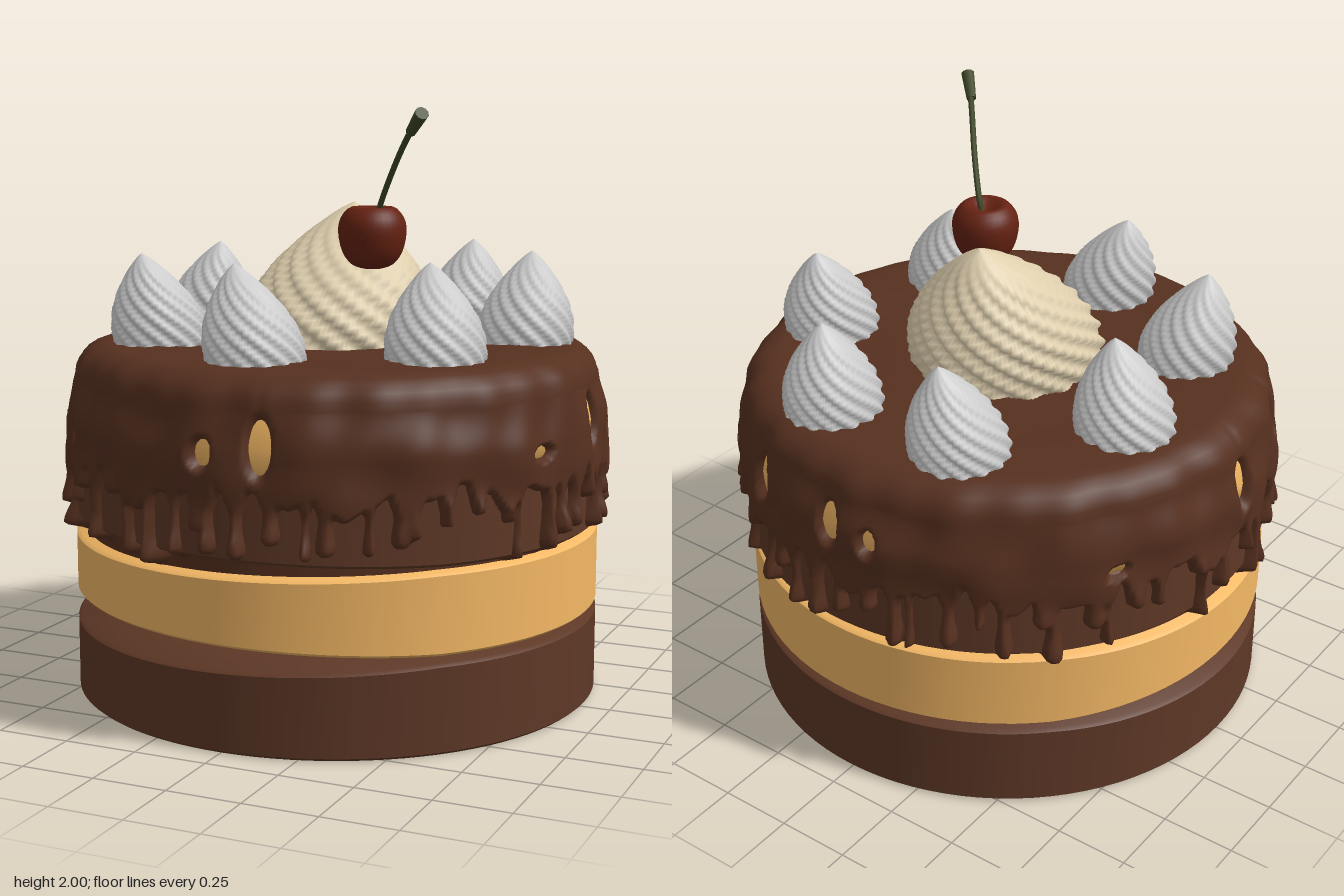
import * as THREE from 'three';
import { toCreasedNormals } from 'three/addons/utils/BufferGeometryUtils.js';

const COLORS = {
  sponge: 0x5e3826, cream: 0xf4b865, icing: 0x56301f, swirl: 0xdfcfae,
  cherry: 0x652212, stem: 0x3f4726, white: 0xcccccc,
};
const material = (key, extra = {}) => new THREE.MeshStandardMaterial({ color: COLORS[key], ...extra });
const smooth = THREE.MathUtils.smoothstep;

function seeded(seed) {
  let s = seed;
  return () => (s = (s * 16807) % 2147483647) / 2147483647;
}

// Surface wrapped around the y axis: rows run top to bottom,
// point(row, angle) gives [radius, y, xShift, zShift]; angle 0 faces the front.
function wrap(rows, cols, point) {
  const pos = [], idx = [];
  for (let i = 0; i <= rows; i++) {
    for (let j = 0; j < cols; j++) {
      const a = (j / cols) * Math.PI * 2;
      const [r, y, sx = 0, sz = 0] = point(i, a);
      pos.push(r * Math.sin(a) + sx, y, r * Math.cos(a) + sz);
      if (i === rows) continue;
      const k = (j + 1) % cols;
      const p = i * cols + j, q = i * cols + k;
      idx.push(p, p + cols, q, q, p + cols, q + cols);
    }
  }
  const g = new THREE.BufferGeometry();
  g.setAttribute('position', new THREE.Float32BufferAttribute(pos, 3));
  g.setIndex(idx);
  g.computeVertexNormals();
  return g;
}

// Cake disc whose rims pull back, leaving a wider wedge at the front corner
function layerGeometry(y0, y1, bottomGap, topGap) {
  const R = 0.905;
  const g = wrap(7, 96, (i, a) => {
    const gap = 0.012 + 0.036 * Math.max(0, Math.cos(a + Math.PI / 4));
    const t = y1 - gap * topGap, b = y0 + gap * bottomGap;
    return [
      [0, y1], [0.7, y1], [R - 0.012, t], [R, t - 0.01],
      [R, b + 0.01], [R - 0.012, b], [0.7, y0], [0, y0],
    ][i];
  });
  return toCreasedNormals(g, 0.7);
}

// Piped swirl: twisted ridges around a leaning, rounded cone
function dollopGeometry(radius, height, ridges, twist, leanX, leanZ) {
  const rows = 22;
  return wrap(rows, ridges * 8, (i, a) => {
    const v = i / rows;
    const ridge = 1 - Math.abs(Math.sin((ridges / 2) * (a - twist * v)));
    const r = radius * Math.sin(v * 1.8) ** 0.85 * (1 - 0.13 * ridge * smooth(v, 0, 0.3));
    const lean = (1 - v) ** 1.4;
    return [r, height * (1 - v), leanX * lean, leanZ * lean];
  });
}

// Icing: a thick coat that sinks into the cake between drips and at bare patches
function icingGeometry() {
  const rand = seeded(4217);
  const drips = [];
  const count = 62;
  for (let i = 0; i < count; i++) {
    drips.push({
      a: ((i + 0.8 * (rand() - 0.5)) / count) * Math.PI * 2,
      w: 0.017 + 0.02 * rand(),
      y: 0.58 + 0.2 * rand() ** 1.3,
    });
  }
  // Bare patches: angle, height, half width, half height
  const patches = [
    [0.156, 0.99, 0.032, 0.078], [-0.055, 0.96, 0.026, 0.038], [-1.12, 1.03, 0.03, 0.06],
    [-0.79, 0.94, 0.018, 0.02], [1.57, 0.99, 0.045, 0.072], [1.85, 1.0, 0.05, 0.073],
    [2.3, 0.95, 0.025, 0.024], [1.2, 0.93, 0.035, 0.018], [2.7, 0.99, 0.036, 0.065],
    [3.1, 0.99, 0.032, 0.06], [3.27, 0.97, 0.024, 0.034], [4.15, 0.9, 0.03, 0.018],
    [4.75, 1.0, 0.034, 0.075],
  ];
  const angleGap = (a, b) => Math.atan2(Math.sin(a - b), Math.cos(a - b)) * 0.92;

  function sideRadius(a, y) {
    const edge = 0.82 + 0.035 * Math.sin(9 * a + 1) + 0.03 * Math.sin(23 * a) + 0.015 * Math.sin(41 * a);
    let cover = y - edge, bulge = 0;
    for (const d of drips) {
      const dx = angleGap(a, d.a);
      if (Math.abs(dx) > 0.12) continue;
      const tip = Math.exp(-(((y - d.y - d.w) / 0.05) ** 2));
      const flare = 0.035 * smooth(y, 0.76, 0.88);
      const w = d.w * (0.8 + 0.3 * tip) + flare;
      cover = Math.max(cover, w - Math.hypot(dx, Math.max(0, d.y + d.w - y)));
      bulge = Math.max(bulge, tip * Math.exp(-((dx / d.w) ** 2)));
    }
    for (const [pa, py, w, h] of patches) {
      const e = Math.hypot(angleGap(a, pa) / w, (y - py) / h);
      cover = Math.min(cover, (e - 1) * w);
    }
    const bumps = 0.005 * Math.sin(17 * a + 9 * y) + 0.004 * Math.sin(31 * a - 14 * y)
      + 0.003 * Math.sin(30 * y + 5 * a);
    const coat = 0.932 - 0.035 * smooth(y, 0.95, 1.13) + bumps + 0.014 * bulge;
    return THREE.MathUtils.lerp(0.865, coat, smooth(cover, -0.012, 0.018));
  }

  const topRows = 12, bendRows = 6, sideRows = 54;
  return wrap(topRows + bendRows + sideRows, 480, (i, a) => {
    if (i <= topRows) {
      const r = 0.78 * (i / topRows);
      const ripple = 0.005 * Math.sin(5 * a + 9 * r) * r + 0.004 * Math.sin(22 * r);
      return [r, 1.207 + ripple * (1 - smooth(r, 0.65, 0.78))];
    }
    const yBend = 1.1;
    if (i <= topRows + bendRows) {
      const t = ((i - topRows) / bendRows) * Math.PI / 2;
      return [0.78 + (sideRadius(a, yBend) - 0.78) * Math.sin(t), yBend + 0.107 * Math.cos(t)];
    }
    const y = yBend - 0.55 * ((i - topRows - bendRows) / sideRows);
    return [sideRadius(a, y), y];
  });
}

export function createModel() {
  const cake = new THREE.Group();
  cake.name = 'cake';
  const add = (name, geometry, mat, x = 0, y = 0, z = 0) => {
    const mesh = new THREE.Mesh(geometry, mat);
    mesh.name = name;
    mesh.position.set(x, y, z);
    cake.add(mesh);
    return mesh;
  };

  // Stacked layers
  const sponge = material('sponge'), cream = material('cream');
  add('bottomSponge', layerGeometry(0.005, 0.312, 0, 1), sponge);
  add('middleCream', layerGeometry(0.312, 0.6, 1, 0.7), cream);
  add('topSponge', layerGeometry(0.6, 0.89, 0.7, 0), sponge);

  // Cream under the icing, rounded at the top
  const topCream = [[0, 1.17], [0.76, 1.17], [0.85, 1.13], [0.885, 1.07], [0.9, 0.98], [0.9, 0.88], [0, 0.88]];
  add('topCream', wrap(6, 96, (i) => topCream[i]), cream);

  add('icing', icingGeometry(), material('icing', { side: THREE.DoubleSide }));

  // Ring of small dollops: x, z, lean x, lean z
  const white = material('white', { side: THREE.DoubleSide });
  [
    [-0.256, -0.607, 0.05, -0.04], [0.246, -0.622, 0.02, -0.02], [0.617, -0.195, 0.0, -0.065],
    [0.5, 0.348, -0.04, -0.05], [-0.018, 0.596, -0.08, -0.01], [-0.505, 0.332, -0.045, 0.05],
    [-0.596, -0.185, 0.055, 0.01],
  ].forEach(([x, z, lx, lz]) => {
    add('smallDollop', dollopGeometry(0.167, 0.315, 14, 2.3, lx, lz), white, x, 1.198, z);
  });

  // Large centre dollop
  add('centreDollop', dollopGeometry(0.338, 0.475, 16, 2.3, -0.01, -0.17),
    material('swirl', { side: THREE.DoubleSide }), 0, 1.195, 0);

  // Cherry with a dimple at the top
  const cherryProfile = new THREE.SplineCurve([
    [0, 0.065], [0.03, 0.078], [0.07, 0.1], [0.105, 0.065], [0.114, 0.015],
    [0.1, -0.05], [0.07, -0.09], [0.03, -0.105], [0, -0.105],
  ].map(([x, y]) => new THREE.Vector2(x, y))).getPoints(24);
  add('cherry', wrap(24, 32, (i) => [Math.max(0, cherryProfile[i].x), cherryProfile[i].y]),
    material('cherry'), 0.183, 1.572, 0.122);

  // Curved stem with a thicker cut end
  const stemMat = material('stem');
  const path = new THREE.CatmullRomCurve3([
    [0.195, 1.62, 0.122], [0.215, 1.68, 0.13], [0.285, 1.79, 0.2], [0.37, 1.89, 0.3], [0.46, 1.975, 0.405],
  ].map((p) => new THREE.Vector3(...p)));
  add('cherryStem', new THREE.TubeGeometry(path, 16, 0.01, 8), stemMat);
  const from = new THREE.Vector3(0.41, 1.925, 0.35), to = new THREE.Vector3(0.472, 1.985, 0.412);
  const end = add('stemEnd', new THREE.CylinderGeometry(0.023, 0.017, from.distanceTo(to), 10), stemMat);
  end.position.copy(from).lerp(to, 0.5);
  end.quaternion.setFromUnitVectors(new THREE.Vector3(0, 1, 0), to.clone().sub(from).normalize());

  return cake;
}
